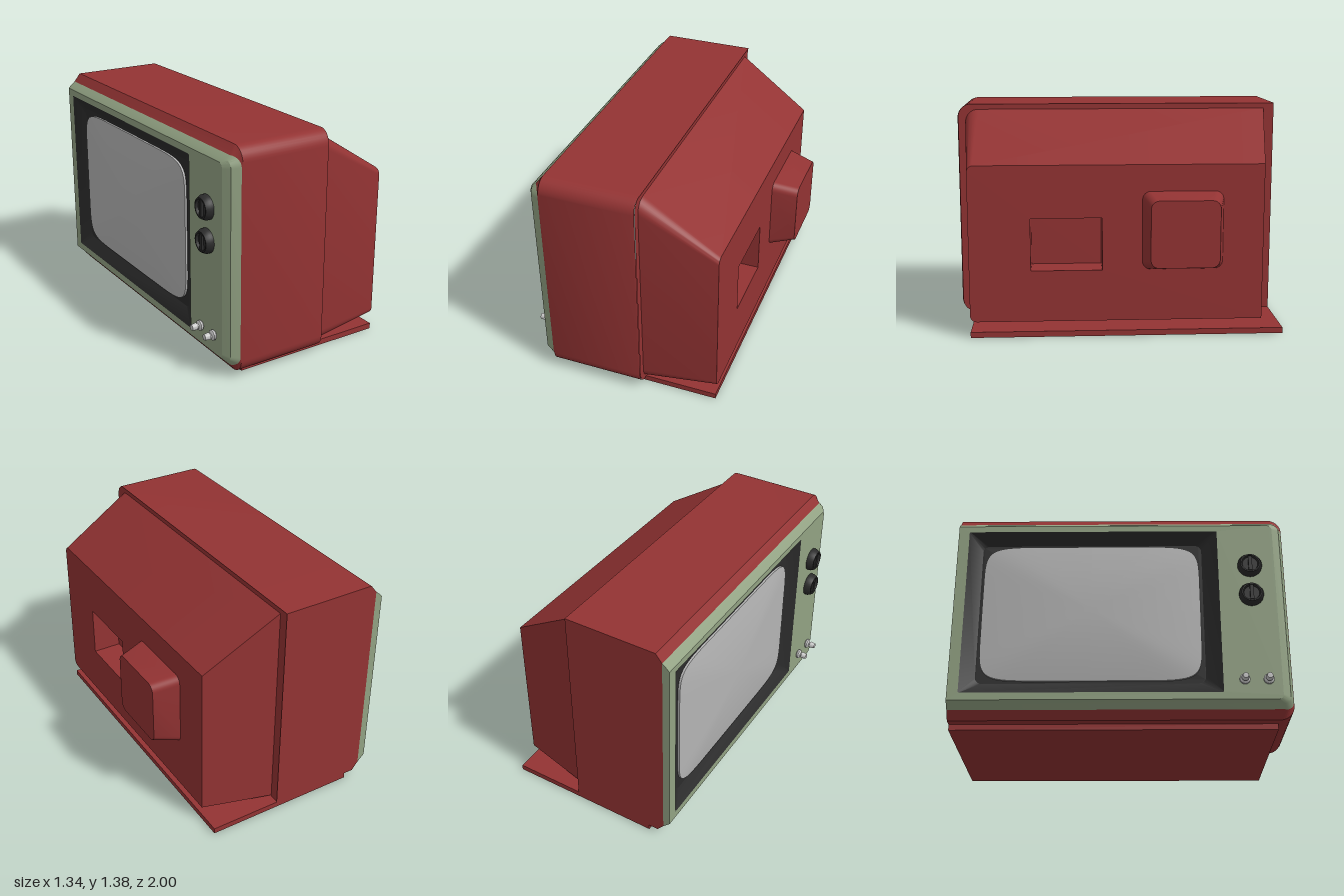
import * as THREE from 'three';
import { toCreasedNormals } from 'three/addons/utils/BufferGeometryUtils.js';

const mat = (color) => new THREE.MeshStandardMaterial({ color });
const red = mat(0x933333), green = mat(0x92a283), black = mat(0x2b2b2b);
const glass = mat(0xb4b4b4), grey = mat(0xcccccc);

// Rounded rectangle across x: radius r at the z1 edge and r0 at the z0 edge.
// xSide lets the z1 edge sit at another depth than the top and bottom.
function ring(x, y0, y1, z0, z1, r, r0 = 0, xSide = x) {
  const pts = [];
  const corner = (cz, cy, rad, start) => {
    const n = rad ? 8 : 0;
    for (let i = 0; i <= n; i++) {
      const a = start + (n ? i / n : 0) * Math.PI / 2;
      const t = cz > (z0 + z1) / 2 ? Math.cos(a) : 0;
      pts.push([x + (xSide - x) * t, cy + rad * Math.sin(a), cz + rad * Math.cos(a)]);
    }
  };
  corner(z1 - r, y0 + r, r, -Math.PI / 2);
  corner(z1 - r, y1 - r, r, 0);
  corner(z0 + r0, y1 - r0, r0, Math.PI / 2);
  corner(z0 + r0, y0 + r0, r0, Math.PI);
  return pts;
}

// Skin between rings; outward when the rings run from -x to +x
function loft(rings, crease = 0.5) {
  const n = rings[0].length, index = [];
  for (let i = 0; i < rings.length - 1; i++) {
    for (let j = 0; j < n; j++) {
      const a = i * n + j, b = i * n + (j + 1) % n;
      index.push(a, a + n, b, b, a + n, b + n);
    }
  }
  const g = new THREE.BufferGeometry();
  g.setAttribute('position', new THREE.Float32BufferAttribute(rings.flat(2), 3));
  g.setIndex(index);
  return toCreasedNormals(g, crease);
}

// Flat cover over a ring, facing dir along x, with an optional hole
function cap(pts, dir, hole) {
  const flat = (p) => p.map(([, y, z]) => new THREE.Vector2(-dir * z, y));
  const shape = new THREE.Shape(flat(pts));
  if (hole) shape.holes.push(new THREE.Path(flat(hole)));
  return new THREE.ShapeGeometry(shape).rotateY(dir * Math.PI / 2).translate(pts[0][0], 0, 0);
}

export function createModel() {
  const model = new THREE.Group();
  const add = (name, material, geometry, parent = model) => {
    const m = new THREE.Mesh(geometry, material);
    m.name = name;
    parent.add(m);
    return m;
  };

  // Cabinet shell, rounded on the +z side and square on the other
  const seam = ring(-0.56, 0.085, 1.33, -1, 0.998, 0.06, 0, -0.525);
  const rim = ring(0.06, 0.035, 1.38, -1, 0.995, 0.08, 0, 0.052);
  add('cabinet', red, loft([
    seam,
    ring(-0.52, 0.035, 1.38, -1, 1, 0.085),
    ring(0.04, 0.035, 1.38, -1, 1, 0.085),
    rim,
  ]));
  add('cabinetBack', red, cap(ring(0.055, 0.035, 1.38, -1, 0.995, 0.08), 1));

  // Front bezel with the picture opening
  const face = ring(-0.605, 0.13, 1.29, -1, 0.93, 0.03);
  const opening = ring(-0.605, 0.175, 1.25, -0.935, 0.59, 0.006, 0.006);
  add('bezelEdge', green, loft([
    face,
    ring(-0.585, 0.11, 1.31, -1, 0.975, 0.045, 0, -0.578),
    seam,
  ]));
  add('bezelFace', green, cap(face, -1, opening));

  // Sloped dark frame around the screen
  const frameInner = ring(-0.555, 0.25, 1.175, -0.85, 0.495, 0.04, 0.04);
  add('screenFrame', black, loft([frameInner, opening]));
  add('screenFrameBack', black, cap(frameInner, -1));

  // Bulging screen with bowed sides
  const screenRing = (k) => Array.from({ length: 64 }, (_, i) => {
    const a = i / 64 * Math.PI * 2;
    const bow = (v) => Math.sign(v) * Math.abs(v) ** 0.24;
    return [-0.568 - 0.03 * (1 - k * k),
      0.712 + 0.45 * k * bow(Math.sin(a)), -0.178 + 0.655 * k * bow(Math.cos(a))];
  });
  const screenRings = [0.001, 0.2, 0.4, 0.6, 0.8, 0.92, 1].map(screenRing);
  screenRings.push(screenRing(1).map(([, y, z]) => [-0.55, y, z]));
  add('screen', glass, loft(screenRings));

  // Tapered rear housing with a square recess
  const back = ring(0.51, 0.1, 1.055, -0.865, 0.91, 0.04);
  const recess = ring(0.51, 0.415, 0.735, 0.11, 0.54, 0);
  const recessEnd = ring(0.33, 0.415, 0.735, 0.11, 0.54, 0);
  add('rearHousing', red, loft([ring(0.05, 0.04, 1.35, -0.935, 0.95, 0.08), back]));
  add('rearPanel', red, cap(back, 1, recess));
  add('recessWalls', red, loft([recess, recessEnd]));
  add('recessEnd', red, cap(recessEnd, 1));

  // Tube cover at the back
  const coverTip = ring(0.667, 0.46, 0.863, -0.58, -0.17, 0.05, 0.05);
  add('tubeCover', red, loft([ring(0.505, 0.417, 0.895, -0.62, -0.13, 0.05, 0.05), coverTip]));
  add('tubeCoverEnd', red, cap(coverTip, 1));

  // Base plate
  add('basePlate', red, new THREE.BoxGeometry(0.965, 0.035, 1.91).translate(0.0225, 0.0175, -0.045));

  // Turned controls: profile of [radius, height], axis pointing to -x
  const turned = (profile, sides) => toCreasedNormals(
    new THREE.LatheGeometry(profile.map(([r, h]) => new THREE.Vector2(r, h)), sides)
      .rotateZ(Math.PI / 2), 0.6);

  // Channel dials with a raised grip
  for (const y of [1.0, 0.802]) {
    const dial = new THREE.Group();
    dial.name = 'dial';
    dial.position.set(-0.605, y, 0.78);
    add('dialBody', black, turned(
      [[0.073, 0], [0.073, 0.02], [0.06, 0.045], [0.052, 0.045], [0.046, 0.03], [0, 0.03]], 32), dial);
    add('dialGrip', black, new THREE.BoxGeometry(0.016, 0.094, 0.022).translate(-0.037, 0, 0), dial);
    model.add(dial);
  }

  // Small control knobs
  for (const z of [0.712, 0.85]) {
    const knob = add('smallKnob', grey, turned(
      [[0.024, 0], [0.031, 0.007], [0.031, 0.018], [0.016, 0.026], [0.016, 0.032],
        [0.022, 0.036], [0.017, 0.068], [0, 0.07]], 16));
    knob.position.set(-0.605, 0.25, z);
  }

  return model;
}
